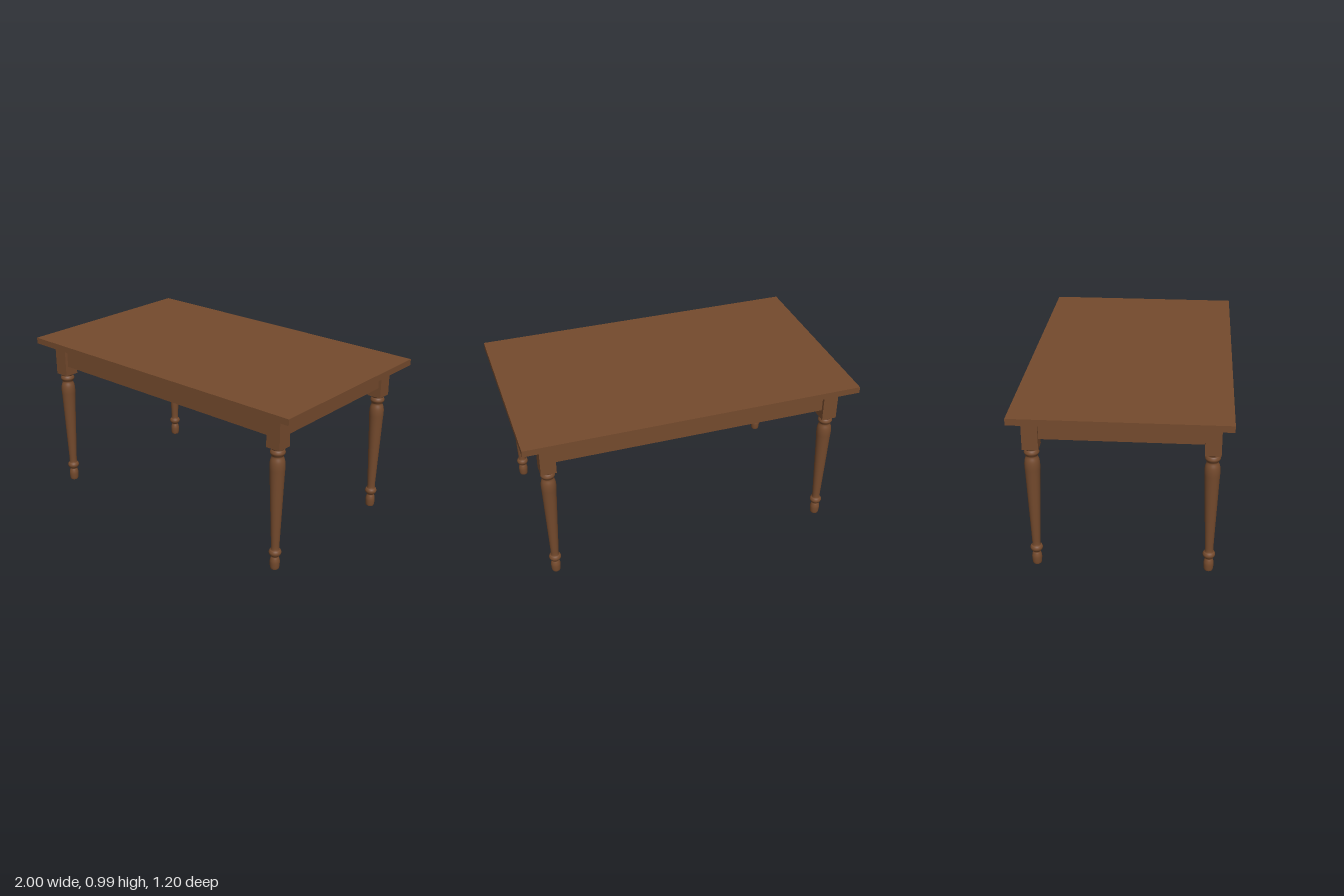
import * as THREE from 'three';

export function createModel() {
  const table = new THREE.Group();
  table.name = 'diningTable';
  const wood = new THREE.MeshStandardMaterial({ color: 0x744a2d });
  wood.name = 'brown wood';

  function add(parent, name, geometry, x, y, z) {
    const mesh = new THREE.Mesh(geometry, wood);
    mesh.name = name;
    mesh.position.set(x, y, z);
    parent.add(mesh);
    return mesh;
  }

  // Table top
  add(table, 'tableTop', new THREE.BoxGeometry(2, 0.038, 1.204), 0, 0.97, 0);

  // Turned leg profile: radius, height
  const profile = new THREE.SplineCurve([
    [0.024, 0], [0.027, 0.012], [0.029, 0.045], [0.025, 0.066], [0.021, 0.079],
    [0.031, 0.09], [0.036, 0.105], [0.031, 0.119], [0.024, 0.13], [0.026, 0.2],
    [0.034, 0.4], [0.041, 0.58], [0.044, 0.64], [0.041, 0.675], [0.033, 0.7],
    [0.036, 0.71], [0.043, 0.724], [0.039, 0.738], [0.035, 0.745], [0.044, 0.757],
  ].map(([r, y]) => new THREE.Vector2(r, y))).getPoints(76);
  const turning = new THREE.LatheGeometry(profile, 32);
  const sole = new THREE.CircleGeometry(0.024, 32).rotateX(Math.PI / 2);
  const block = new THREE.BoxGeometry(0.09, 0.196, 0.09);

  // Four legs, each a turned shaft under a square block
  const legX = 0.855, legZ = 0.495;
  for (const sx of [-1, 1]) {
    for (const sz of [-1, 1]) {
      const leg = new THREE.Group();
      leg.name = (sz > 0 ? 'front' : 'back') + (sx > 0 ? 'Left' : 'Right') + 'Leg';
      leg.position.set(sx * legX, 0, sz * legZ);
      add(leg, 'turnedShaft', turning, 0, 0, 0);
      add(leg, 'footSole', sole, 0, 0, 0);
      add(leg, 'legBlock', block, 0, 0.853, 0);
      table.add(leg);
    }
  }

  // Aprons, set back slightly from the outer faces of the blocks
  const height = 0.135, thick = 0.028, inset = 0.018;
  const longApron = new THREE.BoxGeometry(2 * legX - 0.09, height, thick);
  const shortApron = new THREE.BoxGeometry(thick, height, 2 * legZ - 0.09);
  const shift = 0.045 - inset - thick / 2;
  for (const s of [-1, 1]) {
    add(table, s > 0 ? 'frontApron' : 'backApron', longApron, 0, 0.8835, s * (legZ + shift));
    add(table, s > 0 ? 'leftApron' : 'rightApron', shortApron, s * (legX + shift), 0.8835, 0);
  }
  return table;
}
